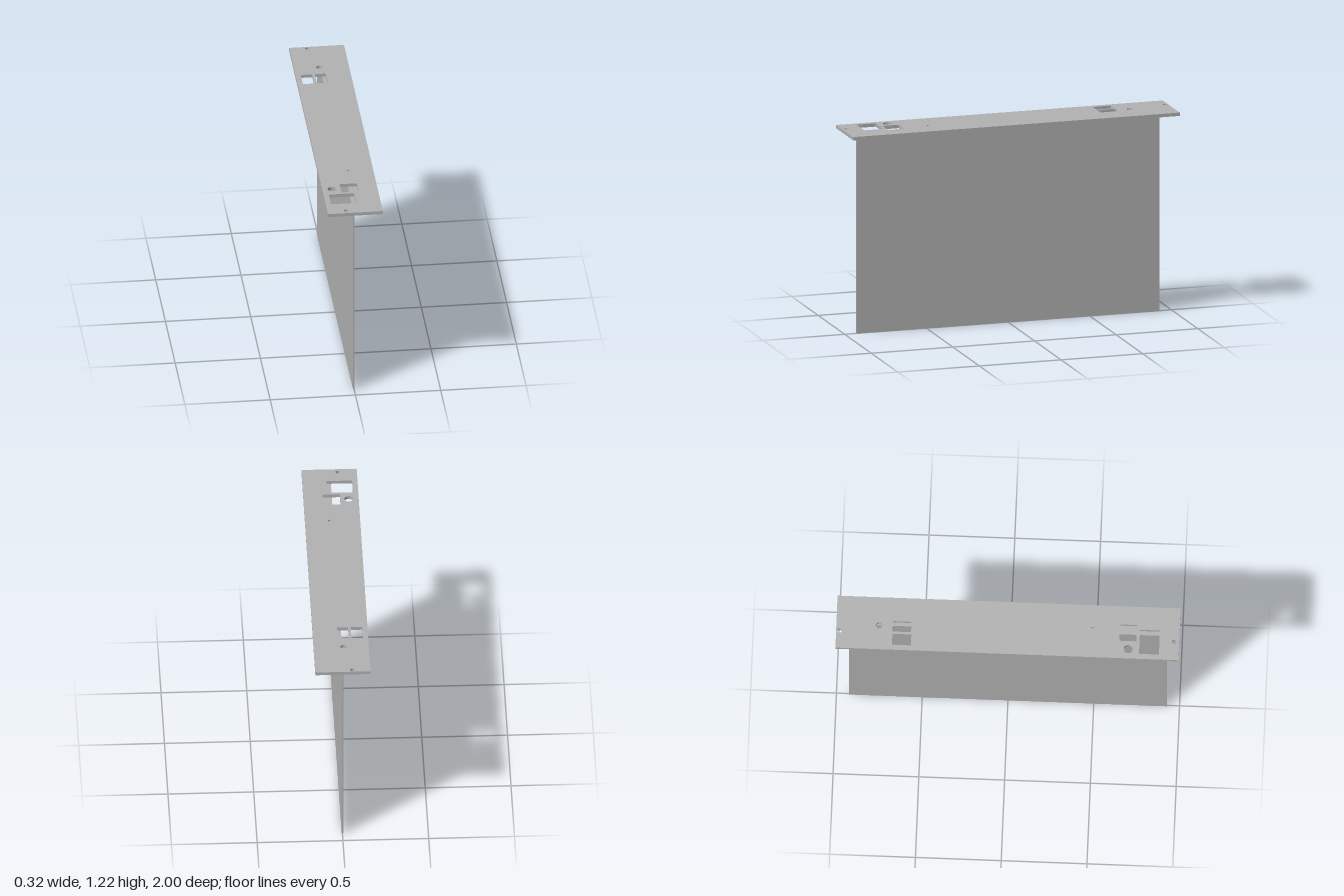
import * as THREE from 'three';

export function createModel() {
  const group = new THREE.Group();
  const grey = new THREE.MeshStandardMaterial({ color: 0xb2b2b2 });
  grey.name = 'plain grey';

  const add = (name, geometry) => {
    const mesh = new THREE.Mesh(geometry, grey);
    mesh.name = name;
    group.add(mesh);
    return mesh;
  };
  const box = (name, x0, x1, y0, y1, z0, z1) =>
    add(name, new THREE.BoxGeometry(x1 - x0, y1 - y0, z1 - z0))
      .position.set((x0 + x1) / 2, (y0 + y1) / 2, (z0 + z1) / 2);

  // Rectangle drawn in plan, with z pointing down the page
  const rect = (path, x0, x1, z0, z1) => {
    path.moveTo(x0, -z1);
    path.lineTo(x1, -z1);
    path.lineTo(x1, -z0);
    path.lineTo(x0, -z0);
    path.closePath();
    return path;
  };

  // Face plate with connector windows and round holes
  const plate = rect(new THREE.Shape(), -0.161, 0.161, -1, 1);
  const windows = [ // x0, x1, z0, z1
    [-0.13, -0.063, -0.671, -0.561],
    [-0.048, 0.016, -0.671, -0.563],
    [-0.053, 0.048, 0.652, 0.751],
    [-0.13, 0.019, 0.769, 0.885],
  ];
  const rounds = [ // x, z, radius
    [-0.056, -0.981, 0.013],
    [-0.013, -0.751, 0.018],
    [0.018, 0.495, 0.009],
    [-0.103, 0.705, 0.026],
    [-0.05, 0.971, 0.013],
  ];
  for (const w of windows) plate.holes.push(rect(new THREE.Path(), ...w));
  for (const [x, z, r] of rounds) {
    plate.holes.push(new THREE.Path().absarc(x, -z, r, 0, Math.PI * 2, true));
  }
  const plateGeometry = new THREE.ExtrudeGeometry(plate, {
    depth: 0.02, bevelEnabled: false, curveSegments: 16,
  });
  plateGeometry.rotateX(-Math.PI / 2);
  add('facePlate', plateGeometry).position.y = 1.197;

  // Thin upright board, and the mounting flange folded along its top
  box('board', -0.006, 0.004, 0, 1.197, -0.928, 0.928);
  box('mountingFlange', 0.004, 0.091, 1.185, 1.197, -0.928, 0.928);

  return group;
}
